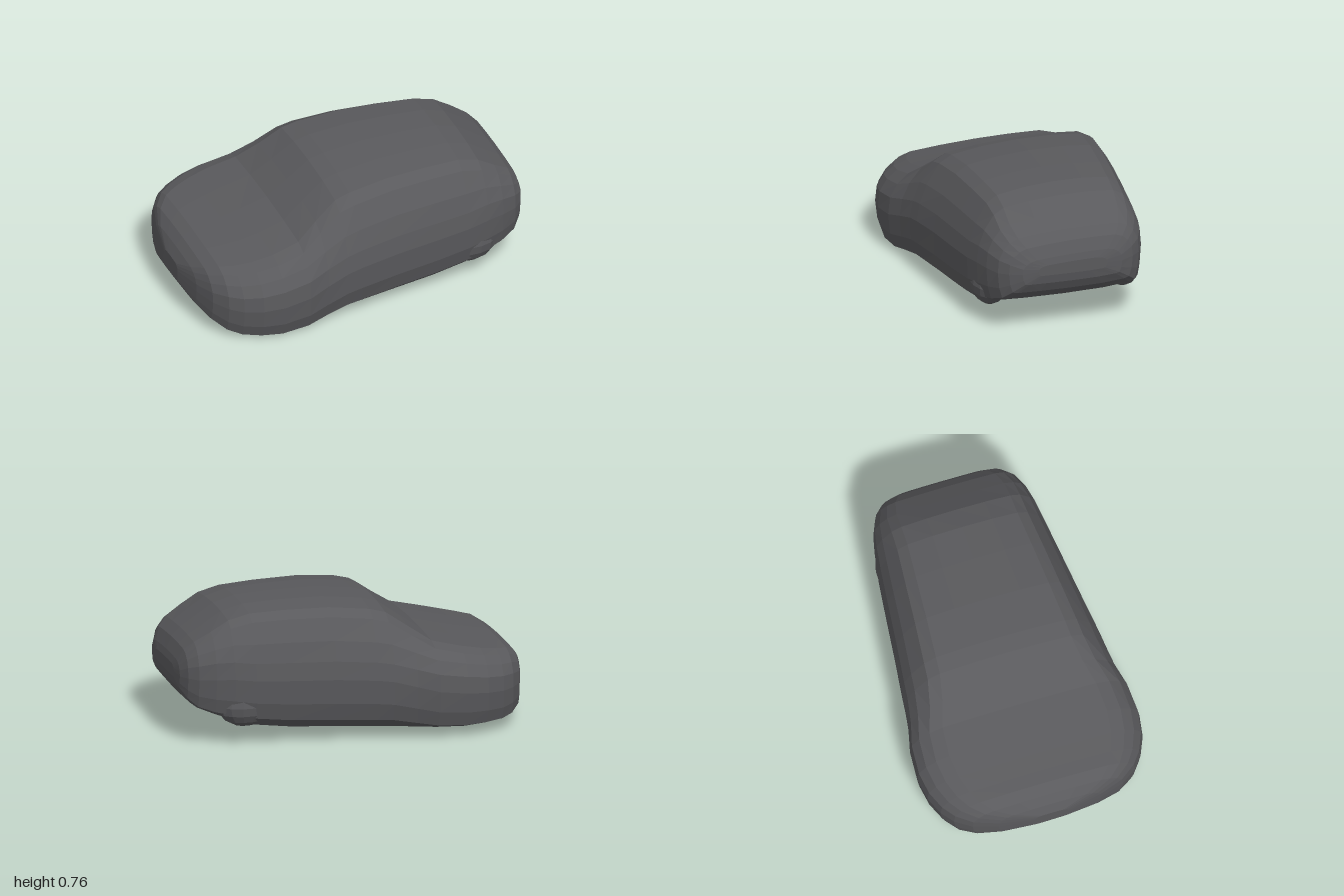
import * as THREE from 'three';

// Body stations along the length: x, underside height, top height, half width
const STATIONS = [
  [-1.0, 0.17, 0.28, 0.1], [-0.97, 0.12, 0.34, 0.3], [-0.93, 0.08, 0.39, 0.44],
  [-0.87, 0.04, 0.427, 0.53], [-0.8, 0.02, 0.44, 0.585], [-0.7, 0.012, 0.46, 0.63],
  [-0.58, 0.005, 0.488, 0.65], [-0.42, 0.01, 0.53, 0.64], [-0.3, 0.016, 0.615, 0.61],
  [-0.17, 0.024, 0.71, 0.59], [-0.08, 0.03, 0.735, 0.58], [0.15, 0.044, 0.76, 0.55],
  [0.4, 0.06, 0.76, 0.52], [0.6, 0.085, 0.75, 0.495], [0.72, 0.125, 0.715, 0.475],
  [0.82, 0.165, 0.65, 0.45], [0.91, 0.205, 0.59, 0.41], [0.96, 0.255, 0.54, 0.36],
  [0.99, 0.31, 0.47, 0.29], [1.0, 0.36, 0.43, 0.2],
];

// Half sections, underside to roof: fraction of half width, fraction of height
const CABIN = [
  [0, 0], [0.5, 0], [0.84, 0.015], [0.94, 0.08], [0.99, 0.22], [1, 0.42],
  [0.97, 0.57], [0.9, 0.73], [0.77, 0.9], [0.65, 0.96], [0.35, 0.99], [0, 1],
];
const BOXY = [
  [0, 0], [0.5, 0], [0.86, 0.01], [0.94, 0.035], [0.98, 0.2], [1, 0.45],
  [0.985, 0.66], [0.92, 0.81], [0.83, 0.91], [0.71, 0.965], [0.38, 0.99], [0, 1],
];

// Bonnet and tail use the boxy section, the cabin the tapered one
function sectionAt(x) {
  const bonnet = 1 - THREE.MathUtils.smoothstep(x, -0.5, -0.15);
  const tail = THREE.MathUtils.smoothstep(x, 0.6, 0.9);
  const t = Math.max(bonnet, tail);
  const half = CABIN.map(([w, h], i) => [
    THREE.MathUtils.lerp(w, BOXY[i][0], t), THREE.MathUtils.lerp(h, BOXY[i][1], t),
  ]);
  // Full ring: up the left side, down the right side
  return [...half, ...half.slice(1, -1).reverse().map(([w, h]) => [-w, h])];
}

function bodyGeometry() {
  const n = CABIN.length * 2 - 2;
  const pos = [];
  const index = [];
  for (const [x, bottom, top, half] of STATIONS) {
    for (const [w, h] of sectionAt(x)) {
      const z = w * half;
      // The body rolls slightly, so its right side sits higher
      const low = z < 0 ? 0.15 * z * z : 0;
      const roll = low * (1 - h) - 0.05 * z * h;
      pos.push(x, bottom + (top - bottom) * h + roll, z);
    }
  }
  for (let i = 0; i < STATIONS.length - 1; i++) {
    for (let j = 0; j < n; j++) {
      const k = (j + 1) % n;
      const a = i * n + j, b = i * n + k;
      index.push(a, a + n, b + n, a, b + n, b);
    }
  }
  // Close nose and tail
  const last = (STATIONS.length - 1) * n;
  for (let j = 1; j < n - 1; j++) {
    index.push(0, j, j + 1);
    index.push(last, last + j + 1, last + j);
  }
  const geo = new THREE.BufferGeometry();
  geo.setAttribute('position', new THREE.Float32BufferAttribute(pos, 3));
  geo.setIndex(index);
  geo.computeVertexNormals();
  return geo;
}

export function createModel() {
  const model = new THREE.Group();
  model.name = 'car';
  const paint = new THREE.MeshStandardMaterial({ color: 0x59595c, flatShading: true });
  paint.name = 'charcoal paint';
  const blue = new THREE.MeshStandardMaterial({ color: 0x485073 });
  blue.name = 'dark blue';

  const add = (name, geo, mat) => {
    const mesh = new THREE.Mesh(geo, mat);
    mesh.name = name;
    model.add(mesh);
    return mesh;
  };

  add('body', bodyGeometry(), paint);

  // Soft rear wheel bulges, barely proud of the flanks
  const bulge = new THREE.SphereGeometry(1, 14, 8);
  for (const side of [1, -1]) {
    const rear = add('rearWheelBulge' + (side > 0 ? 'Left' : 'Right'), bulge, paint);
    rear.position.set(0.64, side > 0 ? 0.215 : 0.235, side * 0.385);
    rear.scale.set(0.16, 0.125, 0.1);
  }

  // Irregular blue patch under the floor, following its slope
  const outline = [
    [-0.06, 0.13], [-0.045, 0.015], [-0.1, -0.05], [-0.19, -0.14], [-0.29, -0.25],
    [-0.335, -0.115], [-0.375, -0.035], [-0.36, 0.06], [-0.275, 0.17], [-0.165, 0.195],
  ].map(([x, z]) => new THREE.Vector2(x, z));
  const patch = new THREE.ShapeGeometry(new THREE.Shape(outline)).rotateX(Math.PI / 2);
  const p = patch.attributes.position;
  for (let i = 0; i < p.count; i++) {
    p.setY(i, 0.03 + 0.0625 * p.getX(i) + 0.04 * Math.max(0, -p.getZ(i)));
  }
  patch.computeVertexNormals();
  add('underfloorPatch', patch, blue);

  return model;
}
